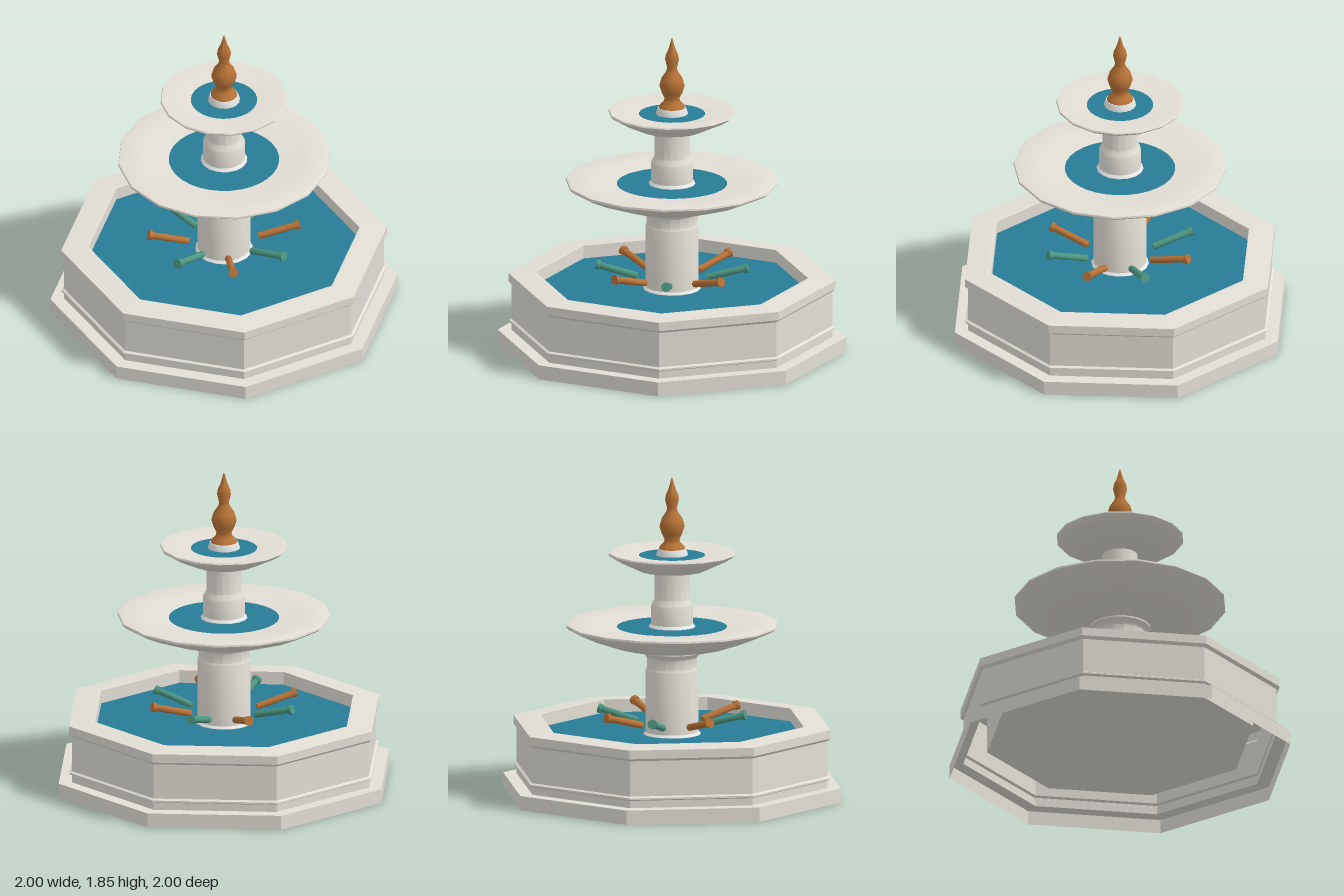
import * as THREE from 'three';
import { toCreasedNormals } from 'three/addons/utils/BufferGeometryUtils.js';

export function createModel() {
  const model = new THREE.Group();
  model.name = 'fountain';

  const material = (name, color, side = THREE.FrontSide) => {
    const m = new THREE.MeshStandardMaterial({ color, side });
    m.name = name;
    return m;
  };
  const stone = material('stone', 0xe2ded5, THREE.DoubleSide);
  const foam = material('foam', 0xf2f4f2, THREE.DoubleSide);
  const water = material('water', 0x287c97, THREE.DoubleSide);
  const copper = material('copper', 0xb87236);
  const verdigris = material('verdigris', 0x4d9681);

  const add = (name, geometry, mat, parent = model) => {
    const mesh = new THREE.Mesh(geometry, mat);
    mesh.name = name;
    parent.add(mesh);
    return mesh;
  };

  // Turned part from [radius, height] pairs, listed from the outside bottom upwards
  const turned = (name, profile, sides, mat, crease = 0.6) => {
    const points = profile.map(([r, y]) => new THREE.Vector2(r, y));
    const lathe = new THREE.LatheGeometry(points, sides);
    return add(name, toCreasedNormals(lathe, crease), mat);
  };

  const waterDisc = (name, radius, y, sides) => {
    const disc = add(name, new THREE.CircleGeometry(radius, sides), water);
    disc.rotation.x = -Math.PI / 2;
    disc.position.y = y;
  };

  // Octagonal basin: plinth, bead, cornice, inner wall and floor, open underneath
  turned('basin', [
    [1, 0], [1, 0.083], [0.92, 0.083], [0.92, 0.125], [0.935, 0.132], [0.935, 0.142],
    [0.92, 0.15], [0.92, 0.355], [0.938, 0.37], [0.938, 0.42], [0.8, 0.43],
    [0.78, 0.43], [0.78, 0.14], [0, 0.14],
  ], 8, stone, 0.05);
  waterDisc('basinWater', 0.78, 0.355, 8);

  // Lower column and wide bowl
  turned('lowerColumn', [
    [0.152, 0.14], [0.152, 0.73], [0.145, 0.742],
    [0.145, 0.8], [0.152, 0.812], [0.175, 0.832], [0.175, 0.86],
  ], 16, stone);
  turned('lowerFoam', [[0.165, 0.35], [0.165, 0.357], [0.15, 0.372]], 16, foam);
  turned('lowerBowl', [
    [0, 0.837], [0.15, 0.837], [0.33, 0.868], [0.49, 0.924], [0.595, 0.972],
    [0.61, 0.985], [0.608, 0.996], [0.595, 1], [0.45, 0.988], [0.316, 0.974], [0, 0.95],
  ], 16, stone);
  waterDisc('lowerBowlWater', 0.316, 0.977, 32);

  // Upper column and small bowl
  turned('upperColumn', [
    [0.121, 0.95], [0.121, 1.1], [0.115, 1.115], [0.101, 1.14], [0.101, 1.31],
  ], 16, stone);
  turned('upperFoam', [[0.134, 0.97], [0.134, 0.98], [0.12, 0.996]], 16, foam);
  turned('upperBowl', [
    [0, 1.297], [0.1, 1.297], [0.19, 1.306], [0.32, 1.368], [0.358, 1.392],
    [0.366, 1.402], [0.362, 1.41], [0.35, 1.411], [0.19, 1.39], [0, 1.375],
  ], 16, stone);
  waterDisc('upperBowlWater', 0.19, 1.393, 32);

  // Finial rising from a foaming collar
  turned('finialCollar', [[0.093, 1.38], [0.09, 1.405], [0.08, 1.43], [0, 1.432]], 16, foam);
  turned('finial', [
    [0.076, 1.43], [0.07, 1.445], [0.048, 1.465], [0.043, 1.485], [0.06, 1.52],
    [0.073, 1.56], [0.06, 1.605], [0.033, 1.645], [0.028, 1.665], [0.04, 1.715],
    [0.035, 1.745], [0.021, 1.775], [0.012, 1.805], [0.006, 1.83], [0, 1.845],
  ], 16, copper, 1);

  // Ring of eight tilted spouts, alternating in metal
  const inner = new THREE.Vector2(0.2, 0.422);
  const outer = new THREE.Vector2(0.432, 0.484);
  const length = inner.distanceTo(outer);
  const pipe = toCreasedNormals(new THREE.CylinderGeometry(0.02, 0.02, length, 8), 0.9);
  const flange = toCreasedNormals(new THREE.CylinderGeometry(0.029, 0.027, 0.022, 8), 0.9);
  for (let i = 0; i < 8; i++) {
    const mat = i % 2 ? verdigris : copper;
    const spoke = new THREE.Group();
    spoke.name = 'spout';
    spoke.rotation.y = (i * Math.PI) / 4;
    const tilted = new THREE.Group();
    tilted.name = 'tiltedSpout';
    tilted.position.set(inner.x, inner.y, 0);
    tilted.rotation.z = outer.clone().sub(inner).angle() - Math.PI / 2;
    add('spoutPipe', pipe, mat, tilted).position.y = length / 2;
    add('spoutFlange', flange, mat, tilted).position.y = length - 0.008;
    spoke.add(tilted);
    model.add(spoke);
  }

  return model;
}
